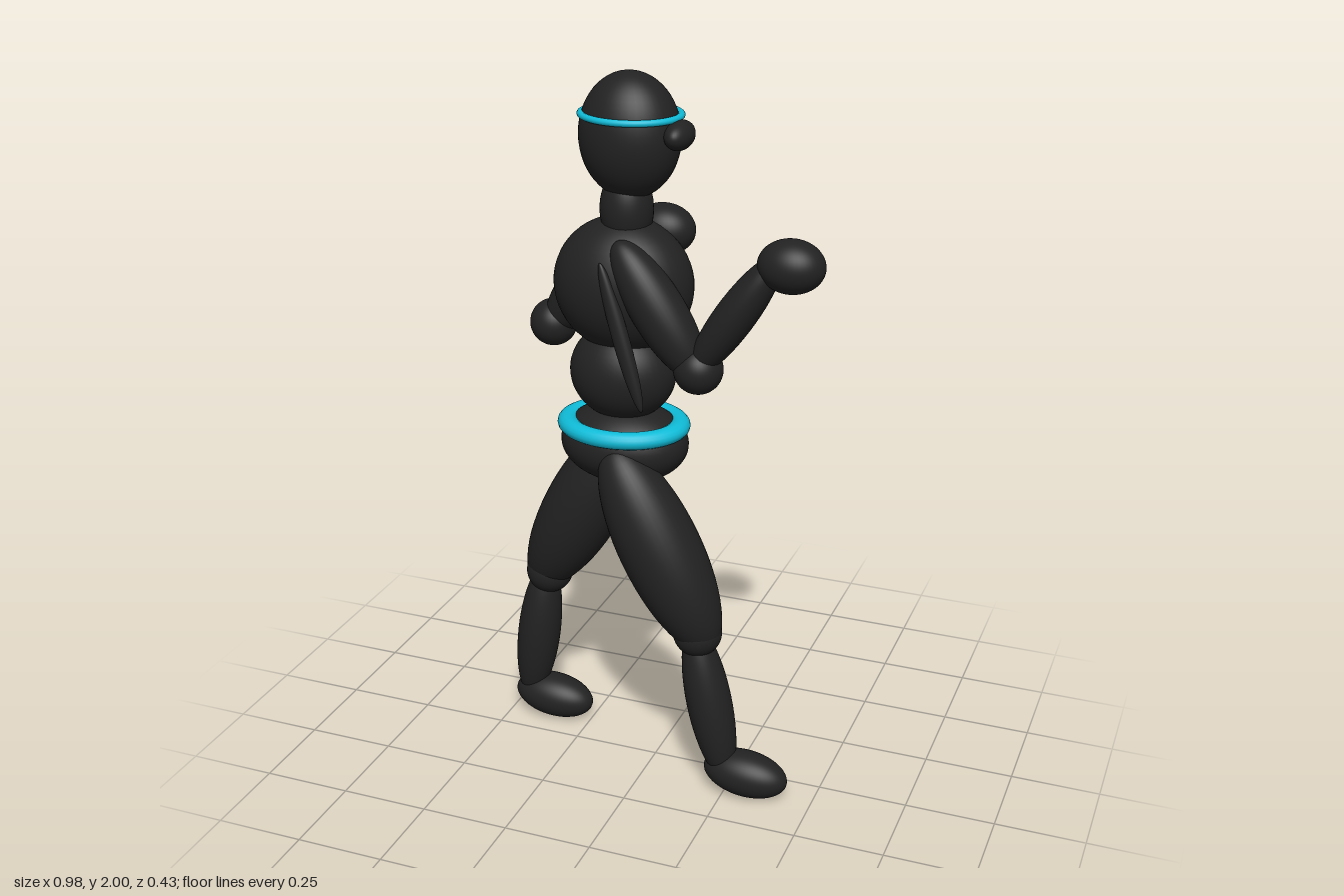
import * as THREE from 'three';

export function createModel() {
  const model = new THREE.Group();
  const dark = new THREE.MeshStandardMaterial({ color: 0x222222 });
  dark.name = 'charcoal';
  const cyan = new THREE.MeshStandardMaterial({ color: 0x10bcd8 });
  cyan.name = 'cyan';
  const ball = new THREE.SphereGeometry(1, 40, 28);
  const up = new THREE.Vector3(0, 1, 0);

  function add(name, geometry, material, parent, pos, scale) {
    const mesh = new THREE.Mesh(geometry, material);
    mesh.name = name;
    mesh.position.set(...pos);
    mesh.scale.set(...scale);
    parent.add(mesh);
    return mesh;
  }
  const blob = (name, pos, scale, parent = model) => add(name, ball, dark, parent, pos, scale);

  // Stretched ellipsoid whose tips touch points a and b
  function limb(name, a, b, rWide, rDeep, parent = model) {
    const from = new THREE.Vector3(...a), to = new THREE.Vector3(...b);
    const axis = to.clone().sub(from);
    const mid = from.add(to).multiplyScalar(0.5);
    const mesh = blob(name, mid.toArray(), [rWide, axis.length() / 2, rDeep], parent);
    mesh.quaternion.setFromUnitVectors(up, axis.normalize());
    return mesh;
  }

  // Flat oval ring around the body
  function ring(name, pos, radius, tube, scale) {
    const g = new THREE.TorusGeometry(radius, tube, 16, 64).rotateX(Math.PI / 2);
    return add(name, g, cyan, model, pos, scale);
  }

  // Head and neck
  blob('head', [-0.07, 1.835, 0], [0.136, 0.165, 0.117]);
  blob('nose', [0.073, 1.85, 0.02], [0.036, 0.038, 0.065]);
  ring('headband', [-0.067, 1.89, 0], 0.131, 0.01, [1, 0.9, 0.885]);
  blob('neck', [-0.08, 1.64, 0], [0.071, 0.11, 0.071]);

  // Torso
  blob('chest', [-0.09, 1.435, 0], [0.192, 0.185, 0.15]);
  blob('abdomen', [-0.093, 1.19, 0], [0.147, 0.135, 0.124]);
  blob('pelvis', [-0.09, 0.985, 0], [0.18, 0.112, 0.14]);
  ring('belt', [-0.09, 1.04, 0.006], 0.155, 0.03, [1, 0.8, 0.845]);

  // Narrow strap hanging across the chest
  limb('strap', [-0.1, 1.53, 0.14], [0.02, 1.14, 0.155], 0.024, 0.02);

  // Arms: one reaching forward, one drawn back
  const arms = [
    { name: 'leadArm', z: 0.1, shoulder: [-0.07, 1.58], elbow: [0.157, 1.26], fist: [0.4, 1.565] },
    { name: 'rearArm', z: -0.1, shoulder: [-0.1, 1.58], elbow: [-0.34, 1.265], fist: [-0.015, 1.565] },
  ];
  for (const { name, z, shoulder, elbow, fist } of arms) {
    const arm = new THREE.Group();
    arm.name = name;
    model.add(arm);
    limb('upperArm', [...shoulder, z], [elbow[0] * 1.04, elbow[1] - 0.03, z], 0.072, 0.07, arm);
    blob('elbow', [...elbow, z], [0.066, 0.066, 0.066], arm);
    limb('forearm', [elbow[0] - 0.02, elbow[1] - 0.02, z], [fist[0] - 0.03, fist[1] + 0.025, z], 0.053, 0.062, arm);
    blob('fist', [...fist, z], [0.088, 0.07, 0.07], arm);
  }

  // Legs in a wide stride
  const legs = [
    { name: 'leadLeg', z: 0.102, hip: [-0.09, 1.01], thighEnd: [0.2, 0.44], knee: [0.163, 0.49],
      shinTop: [0.15, 0.51], shinEnd: [0.25, 0.04], foot: 0.31 },
    { name: 'rearLeg', z: -0.102, hip: [-0.1, 1.01], thighEnd: [-0.41, 0.44], knee: [-0.372, 0.49],
      shinTop: [-0.38, 0.51], shinEnd: [-0.443, 0.05], foot: -0.366 },
  ];
  for (const { name, z, hip, thighEnd, knee, shinTop, shinEnd, foot } of legs) {
    const leg = new THREE.Group();
    leg.name = name;
    model.add(leg);
    limb('thigh', [...hip, z * 1.03], [...thighEnd, z * 1.03], 0.113, 0.11, leg);
    blob('knee', [...knee, z], [0.068, 0.068, 0.068], leg);
    limb('shin', [...shinTop, z], [...shinEnd, z], 0.063, 0.065, leg);
    blob('foot', [foot, 0.067, z], [0.122, 0.065, 0.066], leg).rotation.z = -0.09;
  }

  return model;
}
